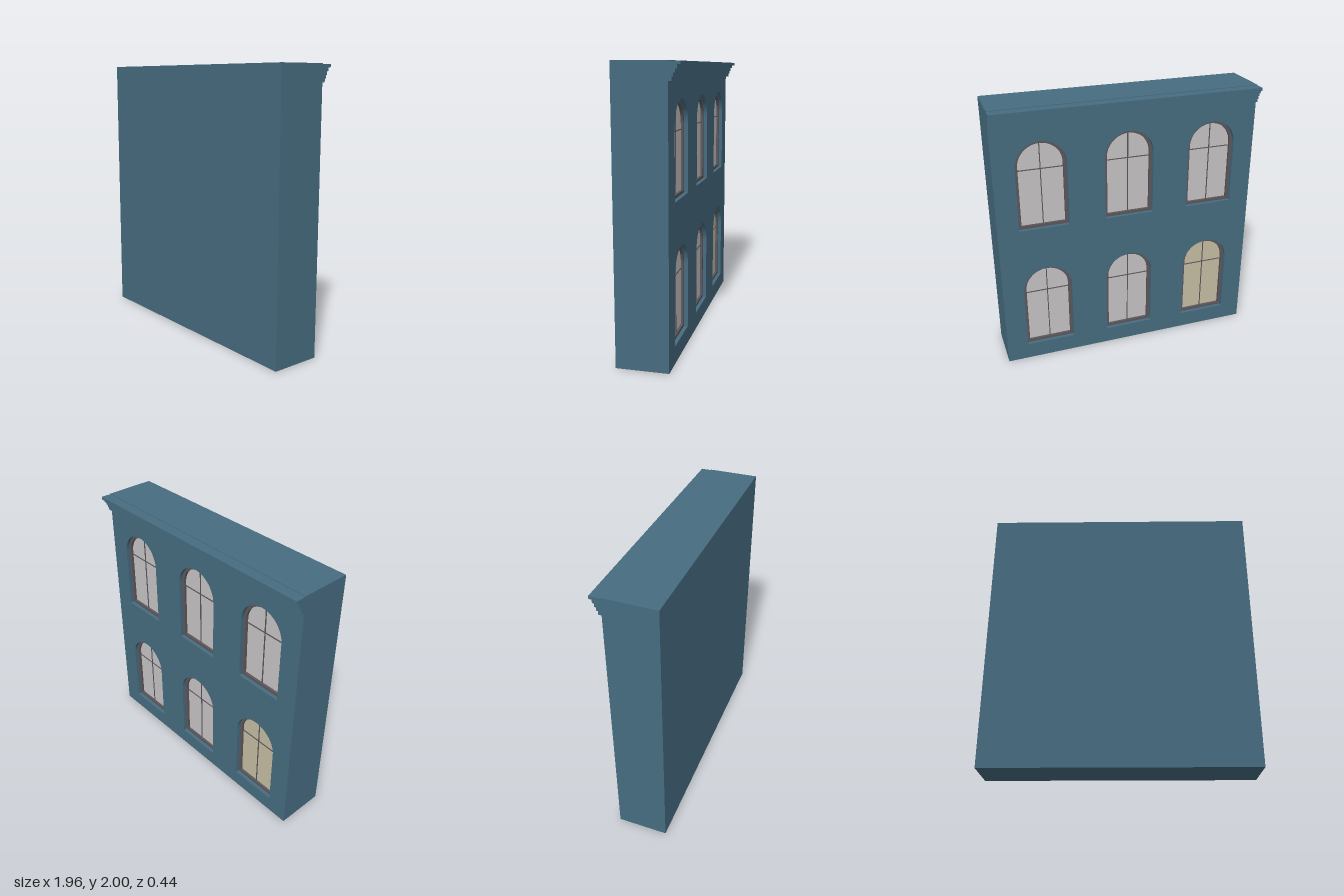
import * as THREE from 'three';

const W = 1.96;            // facade width
const BACK = -0.145;       // plane of the window facade
const FRONT = 0.222;       // plain rear plane of the block
const SKIN = 0.06;         // depth of the pierced wall layer
const OPEN_R = 0.183;      // half width of a window opening
const SILL = 0.124;        // sill height of the lower row
const SPRING = 0.595;      // start of the arch, lower row
const RIM = 0.022;         // window frame width

const mat = (name, color) => {
  const m = new THREE.MeshStandardMaterial({ color });
  m.name = name;
  return m;
};

// Arched outline: straight jambs with a half-round head
function arch(Type, cx, base, inset) {
  const r = OPEN_R - inset;
  const s = new Type();
  s.moveTo(cx - r, base + SILL + inset);
  s.lineTo(cx + r, base + SILL + inset);
  s.lineTo(cx + r, base + SPRING);
  s.absarc(cx, base + SPRING, r, 0, Math.PI, false);
  s.closePath();
  return s;
}

export function createModel() {
  const wallMat = mat('teal wall', 0x466c80);
  const frameMat = mat('dark frame', 0x5c575c);
  const glassMat = mat('pale glass', 0xc8c4c5);
  const litMat = mat('warm glass', 0xc6bea3);

  const root = new THREE.Group();
  root.name = 'facadeBlock';
  const add = (parent, name, geo, material, x = 0, y = 0, z = 0) => {
    const m = new THREE.Mesh(geo, material);
    m.name = name;
    m.position.set(x, y, z);
    parent.add(m);
    return m;
  };

  const storeys = [
    { name: 'lowerStorey', y0: 0, y1: 0.96, base: 0 },
    { name: 'upperStorey', y0: 0.96, y1: 2, base: 0.98 },
  ];
  const columns = [-0.64, 0, 0.64];

  for (const { name, y0, y1, base } of storeys) {
    const group = new THREE.Group();
    group.name = name;
    root.add(group);

    // Solid core behind the pierced layer
    const coreDepth = FRONT - BACK - SKIN;
    add(group, 'wallCore', new THREE.BoxGeometry(W, y1 - y0, coreDepth), wallMat,
      0, (y0 + y1) / 2, FRONT - coreDepth / 2);

    // Wall layer with arched openings
    const wall = new THREE.Shape();
    wall.moveTo(-W / 2, y0);
    wall.lineTo(W / 2, y0);
    wall.lineTo(W / 2, y1);
    wall.lineTo(-W / 2, y1);
    wall.closePath();
    for (const x of columns) wall.holes.push(arch(THREE.Path, x, base, 0));
    add(group, 'piercedWall',
      new THREE.ExtrudeGeometry(wall, { depth: SKIN, bevelEnabled: false, curveSegments: 24 }),
      wallMat, 0, 0, BACK);

    for (const x of columns) {
      const win = new THREE.Group();
      win.name = 'archedWindow';
      win.position.set(x, base, 0);
      group.add(win);

      // Recessed frame ring
      const ring = arch(THREE.Shape, 0, 0, 0);
      ring.holes.push(arch(THREE.Path, 0, 0, RIM));
      add(win, 'windowFrame',
        new THREE.ExtrudeGeometry(ring, { depth: 0.02, bevelEnabled: false, curveSegments: 24 }),
        frameMat, 0, 0, BACK + 0.028);

      // Pane, turned to face the window side
      const pane = new THREE.ShapeGeometry(arch(THREE.Shape, 0, 0, RIM / 2), 24);
      const lit = base === 0 && x < 0;
      add(win, 'windowPane', pane, lit ? litMat : glassMat, 0, 0, BACK + 0.046).rotation.y = Math.PI;

      // Thin glazing bars
      const top = SPRING + OPEN_R - RIM;
      const bottom = SILL + RIM;
      add(win, 'uprightBar', new THREE.BoxGeometry(0.006, top - bottom, 0.006), frameMat,
        0, (top + bottom) / 2, BACK + 0.043);
      add(win, 'crossBar', new THREE.BoxGeometry(2 * (OPEN_R - RIM), 0.006, 0.006), frameMat,
        0, 0.565, BACK + 0.043);
    }
  }

  // Stepped cornice along the top of the window side
  const steps = [[1.878, 0.022], [1.903, 0.032], [1.927, 0.043], [1.951, 0.056], [1.975, 0.077]];
  const cornice = new THREE.Group();
  cornice.name = 'cornice';
  root.add(cornice);
  steps.forEach(([y, out], i) => {
    const h = (i < steps.length - 1 ? steps[i + 1][0] : 1.996) - y;
    add(cornice, 'corniceStep', new THREE.BoxGeometry(W, h, out), wallMat, 0, y + h / 2, BACK - out / 2);
  });

  return root;
}
